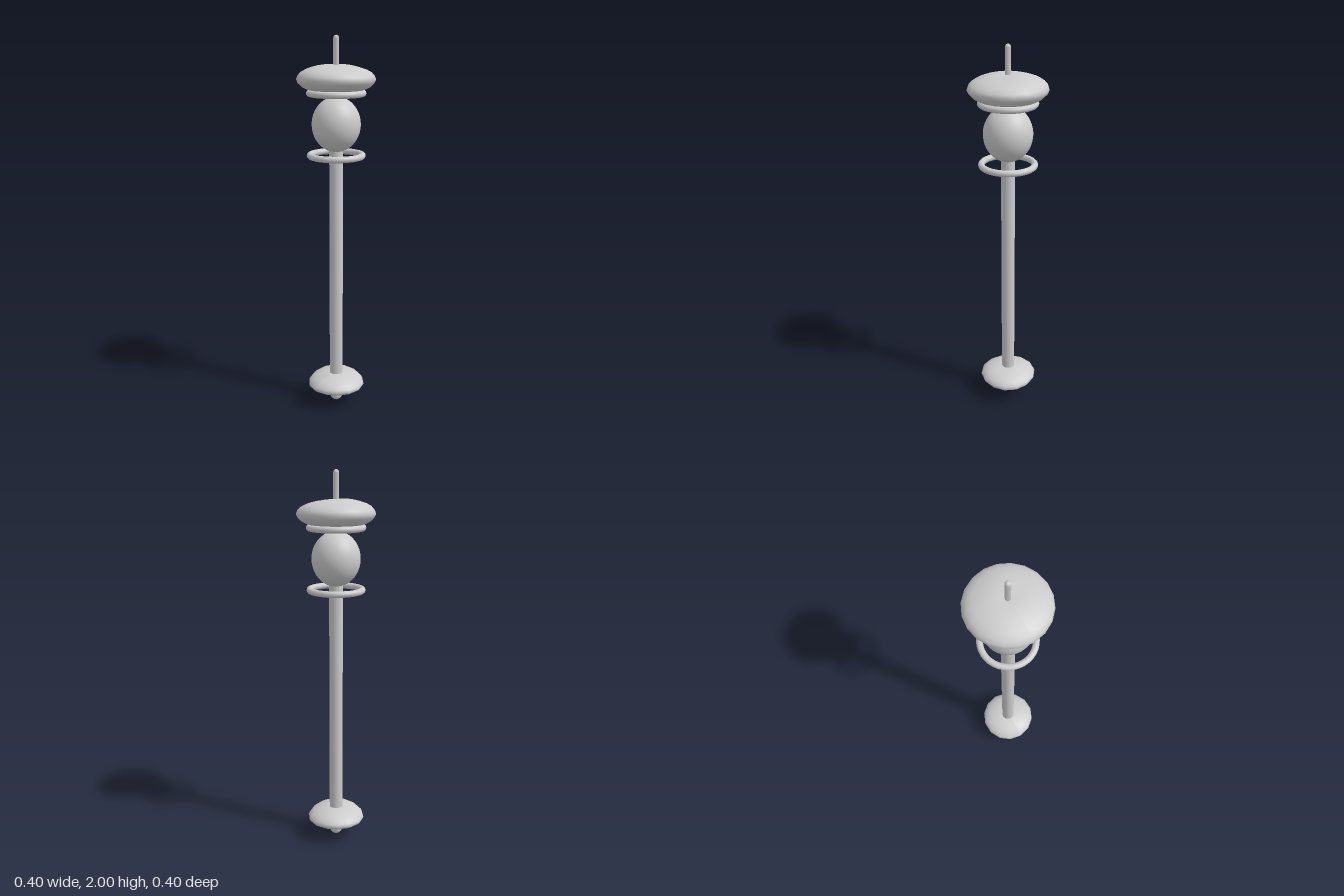
import * as THREE from 'three';

export function createModel() {
  const group = new THREE.Group();
  const metal = new THREE.MeshStandardMaterial({ color: 0xcccccc });
  metal.name = 'pale grey';

  const add = (name, geometry, y) => {
    const mesh = new THREE.Mesh(geometry, metal);
    mesh.name = name;
    mesh.position.set(0.003, y, 0);
    group.add(mesh);
    return mesh;
  };

  // Turned cushion shape from a smooth [radius, height] profile, listed bottom to top
  const cushion = (profile, segments, move) => {
    const curve = new THREE.SplineCurve(profile.map(([r, y]) => new THREE.Vector2(r, y)));
    const points = curve.getPoints(16);
    points.forEach((p) => { p.x = Math.max(0, p.x); });
    const geometry = new THREE.LatheGeometry(points, segments);
    const pos = geometry.attributes.position;
    const v = new THREE.Vector3();
    for (let i = 0; i < pos.count; i++) {
      v.fromBufferAttribute(pos, i);
      move(v);
      pos.setXYZ(i, v.x, v.y, v.z);
    }
    geometry.computeVertexNormals();
    return geometry;
  };

  // Foot and pole
  add('foot', new THREE.SphereGeometry(0.035, 16, 12), 0.036);
  add('pole', new THREE.CylinderGeometry(0.036, 0.036, 1.64, 20), 0.92);

  // Lumpy lower weight
  add('base', cushion([
    [0, -0.056], [0.06, -0.052], [0.125, -0.028], [0.156, 0],
    [0.125, 0.034], [0.06, 0.056], [0, 0.06],
  ], 14, (v) => {
    const r = Math.hypot(v.x, v.z) / 0.156;
    v.y += 0.005 * r * Math.sin(2 * Math.atan2(v.z, v.x));
  }), 0.115);

  // Egg-shaped globe
  add('globe', new THREE.SphereGeometry(0.125, 32, 24), 1.563).scale.y = 1.12;

  // Rings below and above the globe
  for (const [name, y] of [['lowerRing', 1.405], ['upperRing', 1.719]]) {
    add(name, new THREE.TorusGeometry(0.135, 0.0165, 12, 36), y).rotation.x = Math.PI / 2;
  }

  // Domed cap, sloping down on its left with a shallow dent on top
  add('cap', cushion([
    [0, -0.062], [0.1, -0.058], [0.165, -0.04], [0.2, 0],
    [0.175, 0.04], [0.11, 0.065], [0.05, 0.074], [0, 0.073],
  ], 20, (v) => {
    if (v.y <= 0) return;
    const top = v.y / 0.074;
    v.y -= 0.055 * top * Math.max(0, v.x);
    v.y -= 0.005 * top * Math.exp(-((v.x - 0.06) ** 2 + (v.z + 0.02) ** 2) / 0.003);
  }), 1.786);

  // Six-sided spire with a rounded tip
  add('spire', new THREE.CapsuleGeometry(0.015, 0.15, 4, 6), 1.91);

  return group;
}
